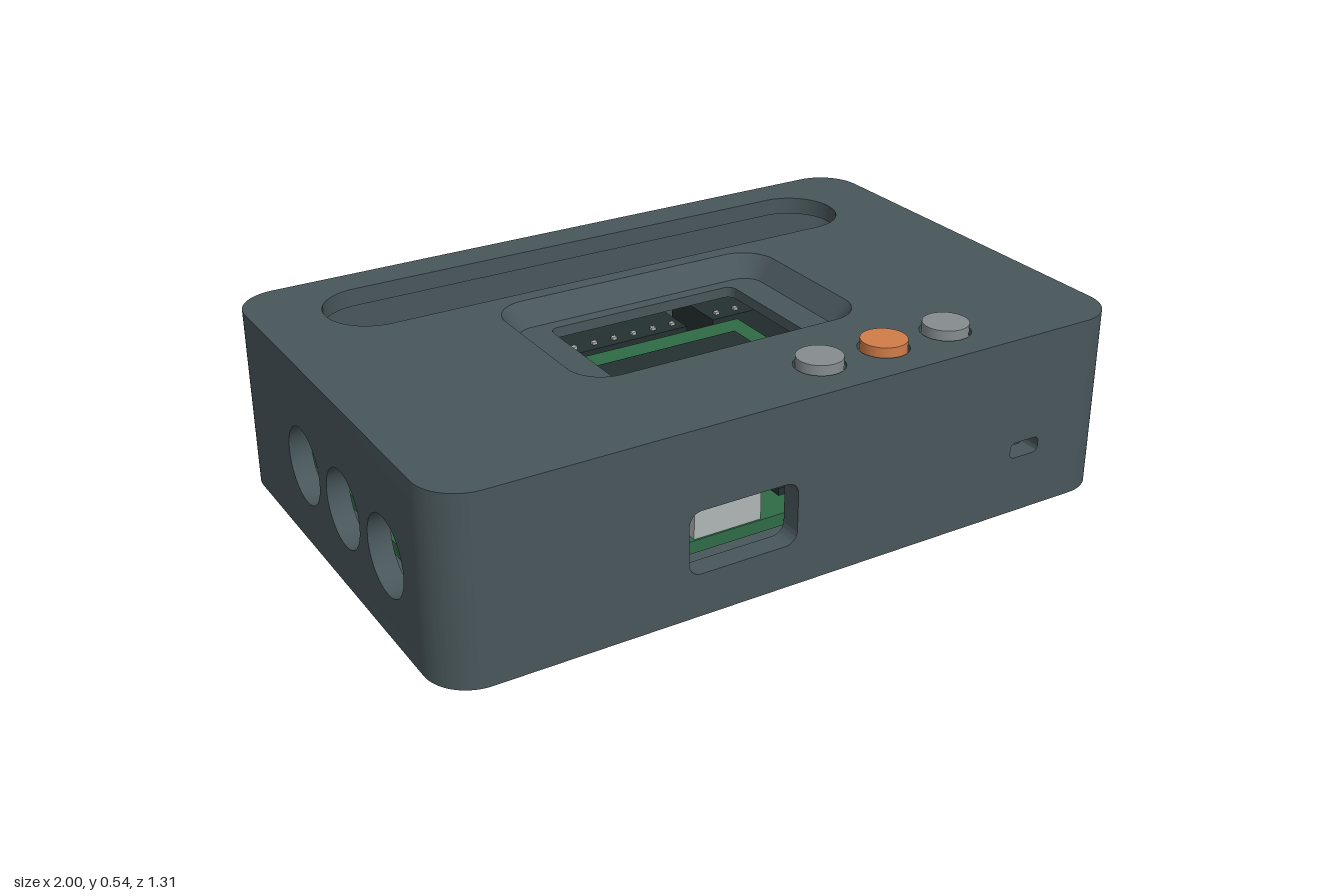
import * as THREE from 'three';
import { mergeGeometries, toCreasedNormals } from 'three/addons/utils/BufferGeometryUtils.js';

const W = 1, D = 0.655, H = 0.515, R = 0.12, T = 0.06; // half width, half depth, height, corner, wall
const TOP = 0.05, BASE = 0.04;

const mat = (name, color, extra = {}) => {
  const m = new THREE.MeshStandardMaterial({ color, ...extra });
  m.name = name;
  return m;
};

// Rounded rectangle outline between two corners
function roundRect(x0, y0, x1, y1, r, Type = THREE.Path) {
  const p = new Type();
  p.absarc(x1 - r, y1 - r, r, 0, Math.PI / 2);
  p.absarc(x0 + r, y1 - r, r, Math.PI / 2, Math.PI);
  p.absarc(x0 + r, y0 + r, r, Math.PI, Math.PI * 1.5);
  p.absarc(x1 - r, y0 + r, r, Math.PI * 1.5, Math.PI * 2);
  p.closePath();
  return p;
}

function circle(x, y, r, Type = THREE.Path) {
  const p = new Type();
  p.absarc(x, y, r, 0, Math.PI * 2);
  return p;
}

function extrude(shape, depth, holes = []) {
  shape.holes.push(...holes);
  const g = new THREE.ExtrudeGeometry(shape, { depth, bevelEnabled: false, curveSegments: 16 });
  return toCreasedNormals(g, 0.5);
}

// Horizontal plate drawn in x and z, hanging down from yTop
const plate = (shape, yTop, depth, holes) =>
  extrude(shape, depth, holes).rotateX(Math.PI / 2).translate(0, yTop, 0);

// Box given by its limits
const box = (x0, x1, y0, y1, z0, z1) =>
  new THREE.BoxGeometry(x1 - x0, y1 - y0, z1 - z0)
    .translate((x0 + x1) / 2, (y0 + y1) / 2, (z0 + z1) / 2);

const cyl = (r, x, y0, y1, z) =>
  new THREE.CylinderGeometry(r, r, y1 - y0, 32).translate(x, (y0 + y1) / 2, z);

// Sloped band between two matching outlines at different heights
function slopedBand(a, yA, b, yB) {
  const pa = a.getPoints(8), pb = b.getPoints(8), pos = [], idx = [];
  pa.forEach((p, i) => pos.push(p.x, yA, p.y, pb[i].x, yB, pb[i].y));
  for (let i = 0; i < pa.length - 1; i++) {
    const k = i * 2;
    idx.push(k, k + 1, k + 2, k + 1, k + 3, k + 2);
  }
  const g = new THREE.BufferGeometry();
  g.setAttribute('position', new THREE.Float32BufferAttribute(pos, 3));
  g.setIndex(idx);
  g.computeVertexNormals();
  return g;
}

export function createModel() {
  const root = new THREE.Group();
  root.name = 'electronicsEnclosure';
  const caseMat = mat('caseSlate', 0x48565a);
  const recessMat = mat('recessSlate', 0x48565a, { side: THREE.DoubleSide });
  const green = mat('boardGreen', 0x2f6b47);
  const black = mat('componentBlack', 0x243030);
  const grey = mat('buttonGrey', 0x868d8f);
  const orange = mat('buttonOrange', 0xd07c48);
  const metal = mat('metal', 0xb0b5b6);
  const add = (name, geo, material, parent = root) => {
    const m = new THREE.Mesh(geo, material);
    m.name = name;
    parent.add(m);
    return m;
  };

  const jackZ = [0.35, 0.09, -0.17];
  const jackY = 0.228;
  const buttonX = [0.12, 0.32, 0.52];
  const y0 = BASE, y1 = H - TOP;

  // Case shell
  const shell = new THREE.Group();
  shell.name = 'caseShell';
  root.add(shell);
  const outline = () => roundRect(-W, -D, W, D, R, THREE.Shape);
  add('topPlate', plate(outline(), H, TOP, [
    roundRect(-0.82, -0.55, 0.81, -0.28, 0.134),
    roundRect(-0.43, -0.235, 0.42, 0.305, 0.1),
    ...buttonX.map(x => circle(x, 0.51, 0.068)),
  ]), caseMat, shell);

  const screwSpots = [[-0.88, -0.535], [0.88, -0.535], [-0.88, 0.535], [0.88, 0.535]];
  add('basePlate', plate(outline(), BASE, BASE, [
    ...screwSpots.map(([x, z]) => circle(x, z, 0.042)),
    ...[-0.724, -0.607].map(x => roundRect(x - 0.035, 0.45, x + 0.035, 0.485, 0.017)),
  ]), caseMat, shell);

  const panel = (half) => {
    const s = new THREE.Shape();
    s.moveTo(-half, y0).lineTo(half, y0).lineTo(half, y1).lineTo(-half, y1).closePath();
    return s;
  };
  add('frontWall', extrude(panel(W - R), T, [
    roundRect(-0.35, 0.12, -0.035, 0.295, 0.035),
    roundRect(0.65, 0.165, 0.745, 0.21, 0.015),
  ]).translate(0, 0, D - T), caseMat, shell);
  add('backWall', extrude(panel(W - R), T).translate(0, 0, -D), caseMat, shell);
  for (const [name, x] of [['leftWall', W], ['rightWall', -W + T]]) {
    const g = extrude(panel(D - R), T, jackZ.map(z => circle(z, jackY, 0.106)));
    add(name, g.rotateY(-Math.PI / 2).translate(x, 0, 0), caseMat, shell);
  }
  [[1, 1], [-1, 1], [-1, -1], [1, -1]].forEach(([sx, sz], i) => {
    const a = i * Math.PI / 2, cx = sx * (W - R), cz = sz * (D - R);
    const s = new THREE.Shape();
    s.absarc(cx, cz, R, a, a + Math.PI / 2, false);
    s.absarc(cx, cz, R - T, a + Math.PI / 2, a, true);
    s.closePath();
    add('cornerWall', plate(s, y1, y1 - y0), caseMat, shell);
  });

  // Sloped display recess with its window frame
  const inner = (Type) => roundRect(-0.385, -0.187, 0.377, 0.26, 0.055, Type);
  add('recessSlope', slopedBand(roundRect(-0.43, -0.235, 0.42, 0.305, 0.1), H, inner(), 0.455), recessMat);
  add('windowFrame', plate(inner(THREE.Shape), 0.455, 0.03,
    [roundRect(-0.295, -0.15, 0.287, 0.235, 0.025)]), caseMat);

  // Screws in the base
  screwSpots.forEach(([x, z]) => add('baseScrew', cyl(0.041, x, 0.008, 0.035, z), grey));

  // Buttons
  buttonX.forEach((x, i) =>
    add('button', cyl(0.062, x, 0.44, 0.54, 0.51), i === 1 ? orange : grey));

  // Main board, display board and display
  add('mainBoard', box(-0.92, 0.92, 0.135, 0.17, -0.585, 0.585), green);
  add('displayBoard', box(-0.36, 0.36, 0.285, 0.31, -0.225, 0.415), green);
  add('displayPanel', box(-0.28, 0.275, 0.31, 0.335, -0.11, 0.232), black);
  for (const x of [-0.32, 0.32]) for (const z of [-0.17, 0.36]) {
    add('standoff', cyl(0.025, x, 0.17, 0.285, z), metal);
  }
  for (const x of [-0.8, 0.8]) for (const z of [-0.45, 0.48]) {
    add('boardPost', cyl(0.04, x, BASE, 0.135, z), caseMat);
  }

  // Plug-in modules with rows of pins
  for (const [a, b] of [[-0.8, -0.3], [-0.22, 0.235], [0.325, 0.78]]) {
    const g = new THREE.Group();
    g.name = 'plugInModule';
    root.add(g);
    add('moduleBody', box(a, b, 0.17, 0.285, -0.533, -0.302), black, g);
    const pins = [];
    const n = Math.round((b - a) / 0.065);
    for (let i = 0; i < n; i++) {
      const x = a + (b - a) * (i + 0.5) / n;
      for (const z of [-0.502, -0.335]) {
        pins.push(box(x - 0.007, x + 0.007, 0.28, 0.293, z - 0.007, z + 0.007));
      }
    }
    add('modulePins', mergeGeometries(pins), metal, g);
  }

  // Round jacks behind both side walls
  for (const side of [-1, 1]) for (const z of jackZ) {
    const g = new THREE.Group();
    g.name = 'sideJack';
    g.position.set(side * 0.79, 0, z);
    root.add(g);
    add('jackBody', box(-0.11, 0.11, 0.17, 0.285, -0.067, 0.067), black, g);
    add('jackFoot', box(-0.09, 0.09, 0.17, 0.195, -0.085, 0.085), black, g);
    const ring = circle(0, 0, 0.056, THREE.Shape);
    const barrel = extrude(ring, 0.05, [circle(0, 0, 0.03)]).rotateY(side * Math.PI / 2);
    add('jackBarrel', barrel.translate(side * 0.1, jackY, 0), black, g);
  }

  // Front connector, capacitor and slide switch
  add('frontConnector', box(-0.29, -0.095, 0.17, 0.245, 0.43, 0.58), metal);
  add('capacitor', cyl(0.04, -0.262, 0.17, 0.28, 0.385), metal);
  add('slideSwitch', box(0.62, 0.775, 0.17, 0.215, 0.5, 0.575), black);

  // Small chips on the main board
  for (const [x, z] of [[-0.55, -0.2], [-0.5, 0.1], [0.5, -0.15], [0.52, 0.15], [0.05, 0.48], [0.3, 0.46], [0.28, -0.25], [-0.2, -0.26]]) {
    add('smallChip', box(x - 0.04, x + 0.04, 0.17, 0.19, z - 0.025, z + 0.025), black);
  }
  return root;
}
